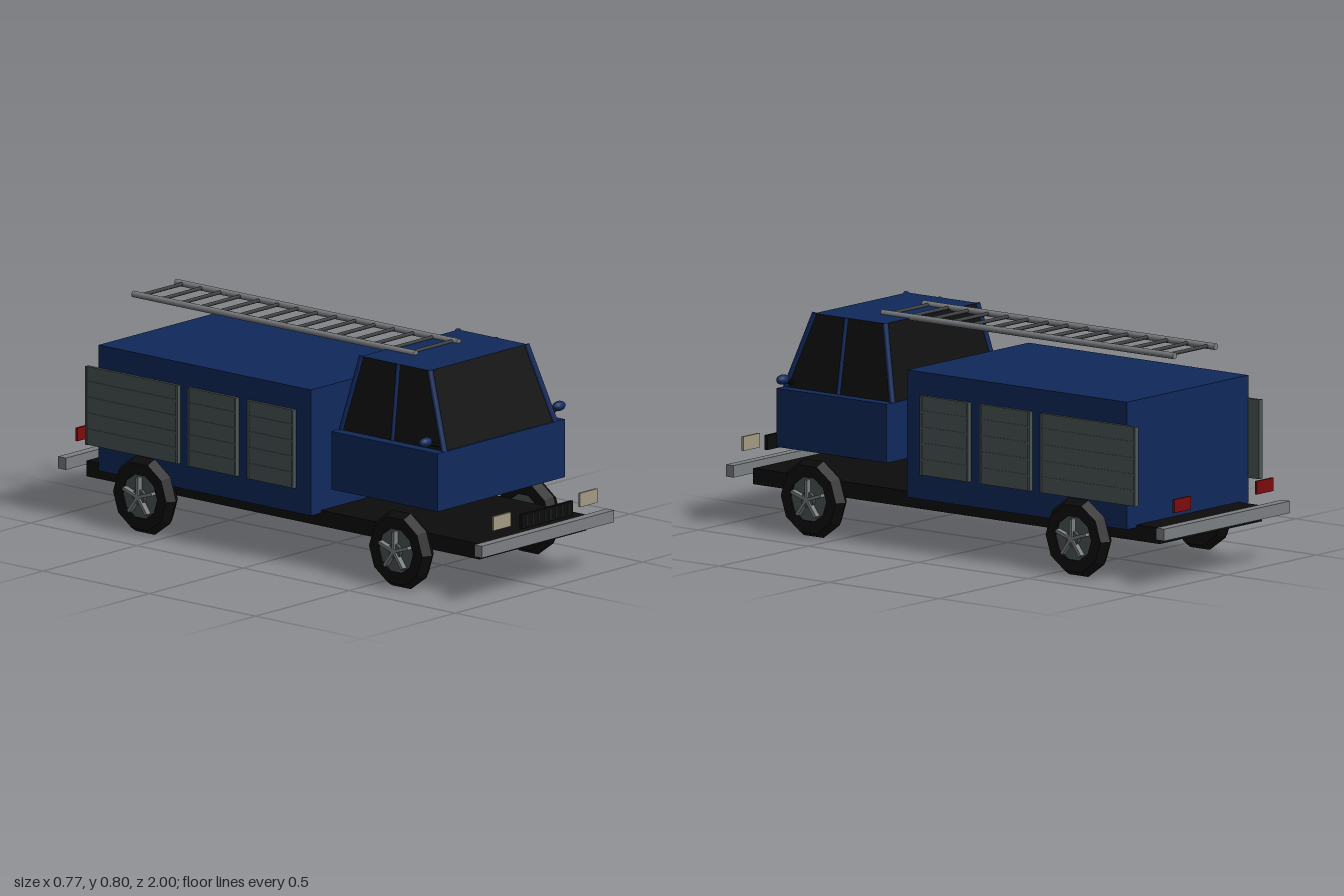
import * as THREE from 'three';

const mat = (name, color, extra = {}) => {
  const m = new THREE.MeshStandardMaterial({ color, ...extra });
  m.name = name;
  return m;
};

export function createModel() {
  const blue = mat('blue paint', 0x10295c);
  const black = mat('black', 0x0c0c0c, { flatShading: true });
  const glass = mat('dark glass', 0x0f0f0f);
  const shutterGrey = mat('shutter grey', 0x4c5656);
  const steel = mat('steel', 0x7c7f82);
  const darkSteel = mat('dark steel', 0x3c4040);
  const lamp = mat('lamp cream', 0xa29a84);
  const red = mat('tail red', 0x7c0c0e);

  const model = new THREE.Group();
  model.name = 'fireTruck';

  const add = (name, geo, material, parent = model) => {
    const mesh = new THREE.Mesh(geo, material);
    mesh.name = name;
    parent.add(mesh);
    return mesh;
  };
  // box given by its lower and upper limits on each axis
  const box = (name, material, [x0, x1], [y0, y1], [z0, z1], parent) => {
    const mesh = add(name, new THREE.BoxGeometry(x1 - x0, y1 - y0, z1 - z0), material, parent);
    mesh.position.set((x0 + x1) / 2, (y0 + y1) / 2, (z0 + z1) / 2);
    return mesh;
  };
  // round bar between two points
  const bar = (name, material, a, b, r, parent, sides = 8) => {
    const p = new THREE.Vector3(...a), q = new THREE.Vector3(...b);
    const mesh = add(name, new THREE.CylinderGeometry(r, r, p.distanceTo(q), sides), material, parent);
    mesh.position.copy(p).lerp(q, 0.5);
    mesh.quaternion.setFromUnitVectors(new THREE.Vector3(0, 1, 0), q.sub(p).normalize());
    return mesh;
  };
  const span = (c, h) => [c - h, c + h];

  // Chassis, equipment body and lower cab
  box('chassis', black, [-0.286, 0.286], [0.143, 0.2], [-0.925, 0.925]);
  box('equipmentBody', blue, [-0.34, 0.34], [0.19, 0.648], [-0.82, 0.18]);
  box('lowerCab', blue, [-0.34, 0.34], [0.302, 0.513], [0.275, 0.775]);

  // Tapered glasshouse with a painted roof
  const cabin = new THREE.BoxGeometry(2, 1, 2);
  const pos = cabin.attributes.position;
  for (let i = 0; i < pos.count; i++) {
    const top = pos.getY(i) > 0, front = pos.getZ(i) > 0;
    pos.setXYZ(i, Math.sign(pos.getX(i)) * (top ? 0.26 : 0.298), top ? 0.783 : 0.512,
      front ? (top ? 0.667 : 0.768) : (top ? 0.345 : 0.282));
  }
  cabin.computeVertexNormals();
  add('glasshouse', cabin, [glass, glass, blue, glass, glass, glass]);

  // Parts that repeat on both sides
  for (const s of [-1, 1]) {
    const side = new THREE.Group();
    side.name = s > 0 ? 'leftSide' : 'rightSide';
    model.add(side);
    const sx = (a, b) => (s > 0 ? [a, b] : [-b, -a]);

    // Cab pillars
    bar('frontPillar', blue, [s * 0.295, 0.51, 0.768], [s * 0.257, 0.783, 0.667], 0.011, side);
    bar('middlePillar', blue, [s * 0.298, 0.51, 0.527], [s * 0.26, 0.783, 0.521], 0.008, side);
    bar('rearPillar', blue, [s * 0.295, 0.51, 0.284], [s * 0.257, 0.783, 0.347], 0.011, side);

    // Mirror on its arm, and the step under the cab
    bar('mirrorArm', black, [s * 0.295, 0.53, 0.74], [s * 0.35, 0.548, 0.733], 0.008, side);
    const mirror = add('mirror', new THREE.SphereGeometry(1, 14, 10), blue, side);
    mirror.scale.set(0.03, 0.018, 0.018);
    mirror.position.set(s * 0.356, 0.551, 0.733);
    box('cabStep', black, sx(0.3, 0.32), [0.296, 0.305], [0.43, 0.49], side);

    // Roller shutters with raised slat lines
    for (const [z0, z1] of [[-0.11, 0.11], [-0.39, -0.16], [-0.87, -0.435]]) {
      box('shutter', shutterGrey, sx(0.338, 0.352), [0.28, 0.565], [z0, z1], side);
      for (let i = 0; i < 4; i++)
        box('shutterSlat', shutterGrey, sx(0.35, 0.355), span(0.335 + i * 0.058, 0.004), [z0 + 0.008, z1 - 0.008], side);
      for (const z of [z0, z1])
        box('shutterFrame', shutterGrey, sx(0.348, 0.357), [0.28, 0.565], span(z + (z === z0 ? 0.004 : -0.004), 0.004), side);
    }

    // Lamps
    box('headlight', lamp, sx(0.185, 0.277), [0.255, 0.306], [0.975, 0.984], side);
    box('tailLight', red, sx(0.185, 0.277), [0.26, 0.308], [-0.985, -0.976], side);

    // Ladder rail
    bar('ladderRail', steel, [s * 0.115, 0.786, 0.475], [s * 0.115, 0.786, -0.855], 0.012, side, 10);

    // Wheels: ten-sided tyre, rim disc, hub and five spokes
    const profile = [[0.082, -0.031], [0.125, -0.031], [0.1445, 0], [0.125, 0.031], [0.082, 0.031], [0.082, -0.031]]
      .map(([r, y]) => new THREE.Vector2(r, y));
    for (const z of [0.605, -0.6]) {
      const wheel = new THREE.Group();
      wheel.name = z > 0 ? 'frontWheel' : 'rearWheel';
      wheel.position.set(s * 0.34, 0.1375, z);
      wheel.rotation.z = -s * Math.PI / 2;
      side.add(wheel);
      add('tyre', new THREE.LatheGeometry(profile, 10), black, wheel);
      add('rim', new THREE.CylinderGeometry(0.082, 0.082, 0.05, 20), shutterGrey, wheel);
      add('hub', new THREE.CylinderGeometry(0.028, 0.028, 0.076, 12), shutterGrey, wheel);
      for (let i = 0; i < 5; i++) {
        const a = i * Math.PI * 0.4;
        const spoke = add('spoke', new THREE.BoxGeometry(0.072, 0.022, 0.012), steel, wheel);
        spoke.position.set(-s * Math.cos(a) * 0.036, 0.035, Math.sin(a) * 0.036);
        spoke.rotation.y = s * a;
      }
    }
  }

  // Ladder rungs
  for (let i = 0; i < 15; i++) {
    const z = 0.448 - i * 0.0907;
    bar('ladderRung', darkSteel, [-0.115, 0.786, z], [0.115, 0.786, z], 0.007);
  }

  // Bumpers
  box('frontBumper', steel, [-0.353, 0.353], [0.172, 0.215], [0.96, 0.995]);
  box('rearBumper', steel, [-0.353, 0.353], [0.172, 0.215], [-1, -0.963]);

  // Grille with upright bars
  box('grille', black, [-0.136, 0.136], [0.237, 0.29], [0.982, 0.994]);
  for (let i = 0; i < 8; i++)
    box('grilleBar', darkSteel, span((i - 3.5) * 0.0315, 0.002), [0.242, 0.285], [0.992, 1]);

  return model;
}
